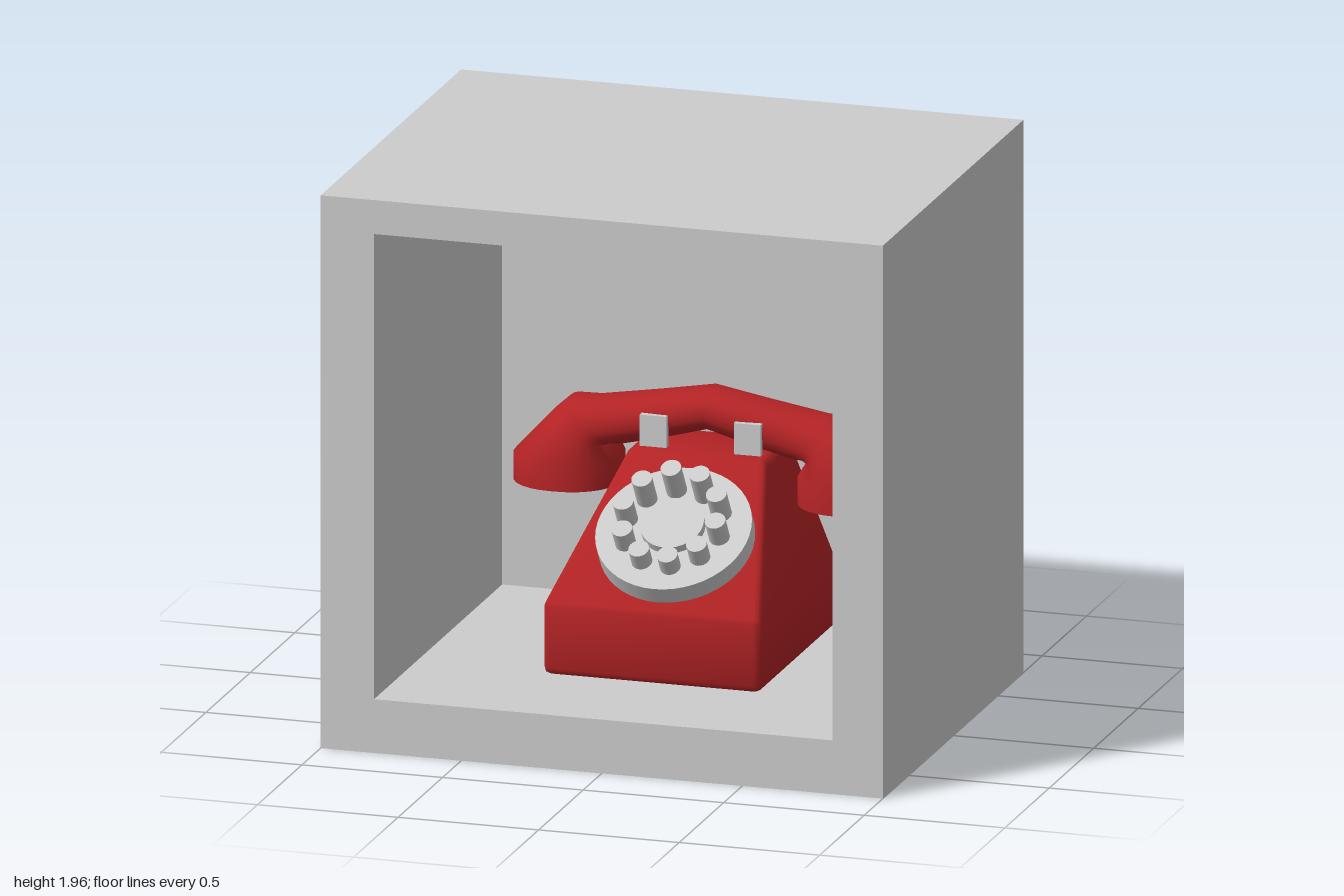
import * as THREE from 'three';
import { toCreasedNormals } from 'three/addons/utils/BufferGeometryUtils.js';
import { ConvexGeometry } from 'three/addons/geometries/ConvexGeometry.js';

const red = new THREE.MeshStandardMaterial({ color: 0xb32325 });
red.name = 'red';
const grey = new THREE.MeshStandardMaterial({ color: 0xcccccc });
grey.name = 'light grey';

const CX = 0.033; // middle of the telephone

function part(parent, name, geometry, material, x = 0, y = 0, z = 0) {
  const mesh = new THREE.Mesh(geometry, material);
  mesh.name = name;
  mesh.position.set(x, y, z);
  parent.add(mesh);
  return mesh;
}

function rectangle(path, x0, y0, x1, y1) {
  path.moveTo(x0, y0);
  path.lineTo(x1, y0);
  path.lineTo(x1, y1);
  path.lineTo(x0, y1);
  path.closePath();
  return path;
}

// Open-fronted display box
function buildBox() {
  const box = new THREE.Group();
  box.name = 'displayBox';
  const shape = rectangle(new THREE.Shape(), -1, 0, 1, 1.955);
  shape.holes.push(rectangle(new THREE.Path(), -0.81, 0.19, 0.82, 1.835));
  const walls = new THREE.ExtrudeGeometry(shape, { depth: 1.44, bevelEnabled: false });
  part(box, 'walls', walls, grey, 0, 0, -0.65);
  part(box, 'backPanel', new THREE.BoxGeometry(2, 1.955, 0.14), grey, 0, 0.9775, -0.72);
  return box;
}

// Wedge body: hull around small spheres at the corners
function bodyGeometry() {
  const r = 0.025;
  const corners = [ // half width, y, z
    [0.387, 0.19 + r, 0.34], [0.387, 0.455 - r, 0.34],
    [0.25, 0.86 - r, -0.2], [0.25, 0.86 - r, -0.47],
    [0.387, 0.455 - r, -0.53], [0.387, 0.19 + r, -0.53],
  ];
  const points = [];
  for (const [w, y, z] of corners) for (const side of [-1, 1]) {
    const centre = new THREE.Vector3(side * (w - r), y, z - Math.sign(z) * r);
    for (const i of [-1, 0, 1]) for (const j of [-1, 0, 1]) for (const k of [-1, 0, 1]) {
      if (i || j || k) points.push(new THREE.Vector3(i, j, k).setLength(r).add(centre));
    }
  }
  return toCreasedNormals(new ConvexGeometry(points), 0.9);
}

// Handset: oval rings between an outer and an inner outline, mirrored in x
function handsetGeometry() {
  const half = [ // outer x, y, inner x, y, half depth
    [-0.693, 0.69, -0.318, 0.69, 0.19],
    [-0.693, 0.78, -0.318, 0.78, 0.19],
    [-0.55, 0.935, -0.35, 0.83, 0.16],
    [-0.5, 0.98, -0.335, 0.832, 0.135],
    [-0.41, 0.985, -0.3, 0.832, 0.115],
    [-0.2, 1.02, -0.18, 0.86, 0.11],
    [0, 1.055, 0, 0.91, 0.11],
  ];
  const mirrored = half.slice(0, -1).reverse().map(([ox, oy, ix, iy, d]) => [-ox, oy, -ix, iy, d]);
  const rings = [...half, ...mirrored];
  const n = 28;
  const soft = (v) => Math.sign(v) * Math.abs(v) ** 0.9;
  const pos = [], index = [];
  for (const [ox, oy, ix, iy, d] of rings) {
    for (let j = 0; j < n; j++) {
      const a = (j / n) * Math.PI * 2;
      const c = soft(Math.cos(a)) / 2;
      pos.push((ox + ix) / 2 + c * (ox - ix), (oy + iy) / 2 + c * (oy - iy), soft(Math.sin(a)) * d);
    }
  }
  const at = (i, j) => i * n + (j % n);
  const last = rings.length - 1;
  for (let i = 0; i < last; i++) for (let j = 0; j < n; j++) {
    index.push(at(i, j), at(i, j + 1), at(i + 1, j));
    index.push(at(i, j + 1), at(i + 1, j + 1), at(i + 1, j));
  }
  // flat undersides of the two cups
  const start = pos.length / 3, end = start + 1;
  pos.push(-0.5055, 0.69, 0, 0.5055, 0.69, 0);
  for (let j = 0; j < n; j++) {
    index.push(start, at(0, j + 1), at(0, j), end, at(last, j), at(last, j + 1));
  }
  const g = new THREE.BufferGeometry();
  g.setAttribute('position', new THREE.Float32BufferAttribute(pos, 3));
  g.setIndex(index);
  return toCreasedNormals(g, 0.95);
}

// Tilted dial with a hub and a ring of pegs; its top face lies at y = 0
function buildDial() {
  const dial = new THREE.Group();
  dial.name = 'dial';
  dial.position.set(0.053, 0.69, 0.15);
  dial.rotation.x = THREE.MathUtils.degToRad(34);
  part(dial, 'dialPlate', new THREE.CylinderGeometry(0.27, 0.27, 0.07, 48), grey, 0, -0.035, 0);
  part(dial, 'dialHub', new THREE.CylinderGeometry(0.11, 0.11, 0.03, 32), grey, 0, 0.015, 0);
  for (let i = 0; i < 10; i++) {
    const a = THREE.MathUtils.degToRad(-11 + 36 * i);
    const h = 0.092 + 0.027 * Math.cos(a); // taller towards the back
    part(dial, 'dialPeg', new THREE.CylinderGeometry(0.036, 0.036, h, 20), grey,
      0.17 * Math.sin(a), h / 2, -0.17 * Math.cos(a));
  }
  return dial;
}

export function createModel() {
  const model = new THREE.Group();
  model.name = 'boxedTelephone';
  model.add(buildBox());

  const phone = new THREE.Group();
  phone.name = 'telephone';
  model.add(phone);
  part(phone, 'body', bodyGeometry(), red, CX);
  part(phone, 'handset', handsetGeometry(), red, CX, 0, -0.34);
  phone.add(buildDial());

  // Cradle prongs in front of and behind the handset
  for (const x of [-0.135, 0.2]) for (const z of [-0.225, -0.455]) {
    part(phone, 'cradleProng', new THREE.BoxGeometry(0.095, 0.13, 0.025), grey, x, 0.905, z);
  }
  return model;
}
